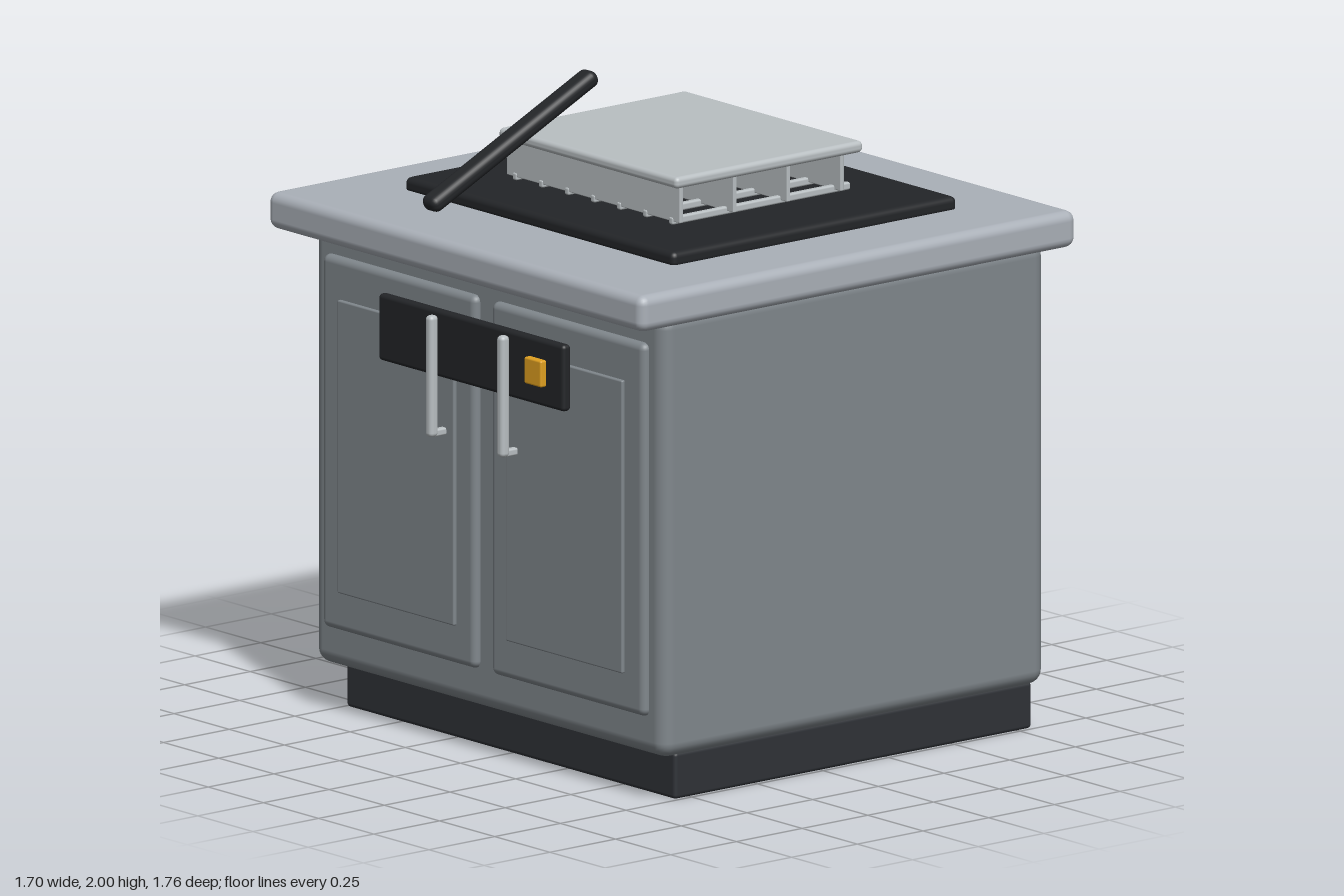
import * as THREE from 'three';
import { RoundedBoxGeometry } from 'three/addons/geometries/RoundedBoxGeometry.js';

const mat = (color) => new THREE.MeshStandardMaterial({ color });

export function createModel() {
  const group = new THREE.Group();
  const paint = mat(0x80878c);
  const stone = mat(0xaab0b8);
  const steel = mat(0xb9bfc2);
  const black = mat(0x232528);
  const plinthPaint = mat(0x2f3237);
  const amber = mat(0xe0a020);

  // Rounded block given by its extents on each axis
  function block(name, material, [x0, x1], [y0, y1], [z0, z1], radius) {
    const geometry = new RoundedBoxGeometry(x1 - x0, y1 - y0, z1 - z0, 3, radius);
    const mesh = new THREE.Mesh(geometry, material);
    mesh.name = name;
    mesh.position.set((x0 + x1) / 2, (y0 + y1) / 2, (z0 + z1) / 2);
    group.add(mesh);
    return mesh;
  }

  // Cabinet
  block('plinth', plinthPaint, [-0.745, 0.745], [0, 0.14], [-0.8, 0.56], 0.012);
  block('cabinet', paint, [-0.795, 0.795], [0.14, 1.47], [-0.815, 0.645], 0.045);
  block('worktop', stone, [-0.85, 0.85], [1.45, 1.56], [-0.885, 0.775], 0.03);

  // Doors with raised panels and bar handles
  for (const [side, s] of [['left', 1], ['right', -1]]) {
    const span = (a, b) => (s > 0 ? [a, b] : [-b, -a]);
    block(side + 'Door', paint, span(0.035, 0.73), [0.26, 1.38], [0.61, 0.667], 0.022);
    block(side + 'DoorPanel', paint, span(0.117, 0.645), [0.378, 1.257], [0.65, 0.678], 0.005);
    block(side + 'Handle', steel, span(0.146, 0.177), [0.945, 1.31], [0.707, 0.74], 0.013);
    for (const y of [0.945, 1.285])
      block(side + 'HandleMount', steel, span(0.15, 0.173), [y, y + 0.022], [0.665, 0.73], 0.006);
  }

  // Control panel and its button
  block('controlPanel', black, [-0.42, 0.42], [1.125, 1.325], [0.68, 0.712], 0.012);
  block('button', amber, [0.265, 0.342], [1.187, 1.267], [0.7, 0.732], 0.006);

  // Hob plate
  block('hob', black, [-0.61, 0.61], [1.55, 1.598], [-0.63, 0.453], 0.018);

  // Raised rack: rods, cross walls and top plate
  for (let i = -3; i <= 3; i++) {
    const x = i * 0.118;
    block('rackRod', steel, [x - 0.01, x + 0.01], [1.603, 1.626], [-0.43, 0.248], 0.006);
  }
  for (let i = 0; i < 4; i++) {
    const z = 0.238 - i * 0.204;
    block('rackWall', steel, [-0.392, 0.392], [1.613, 1.73], [z - 0.007, z + 0.007], 0.003);
  }
  block('rackTop', steel, [-0.405, 0.405], [1.72, 1.755], [-0.445, 0.268], 0.014);

  // Tilted lever floating above the front edge
  const lever = block('lever', black, [-0.034, 0.034], [1.813, 1.863], [0.213, 0.907], 0.022);
  lever.rotation.x = 0.445;

  return group;
}
